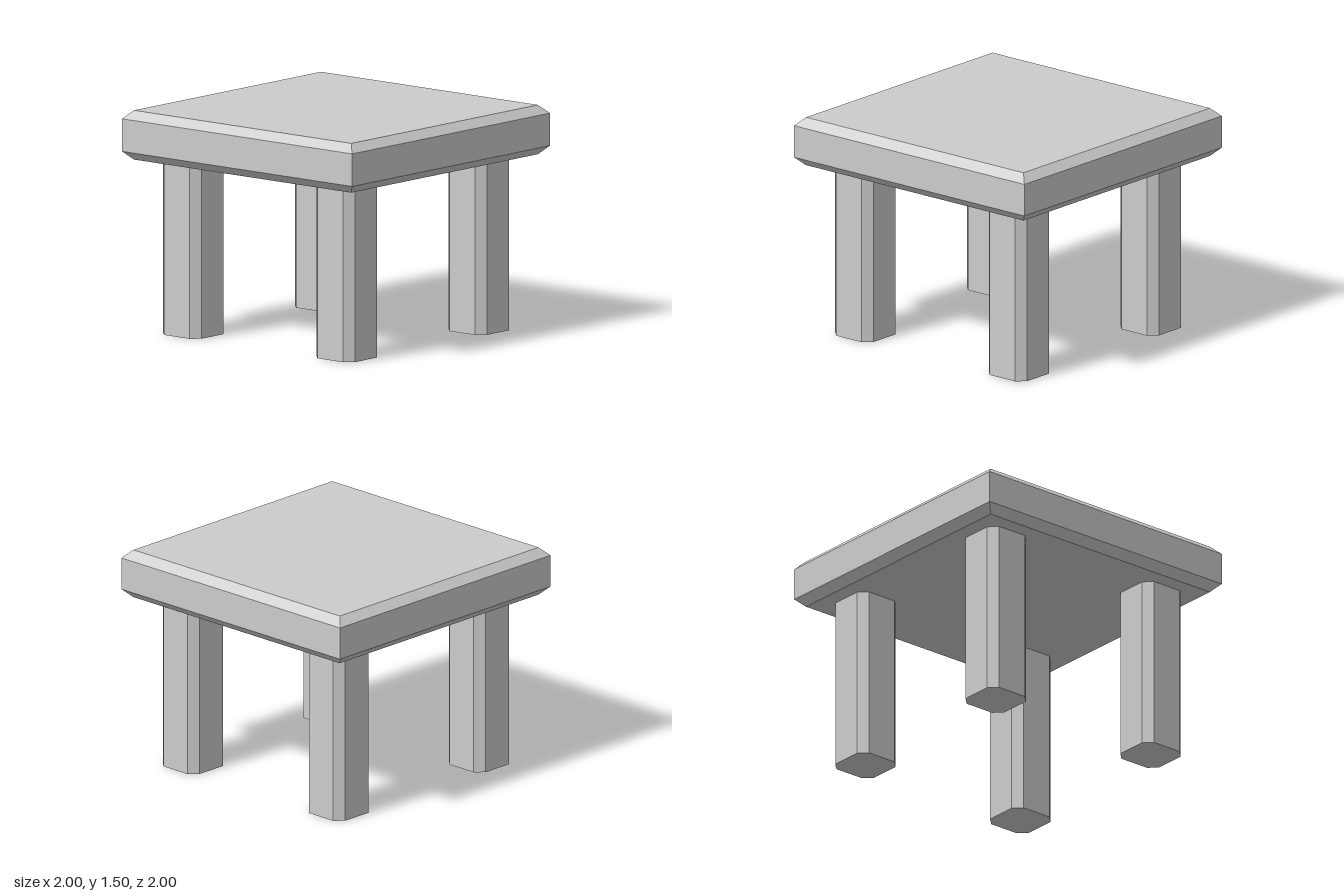
import * as THREE from 'three';

const CHAMFER = 0.056;
const LEG_HEIGHT = 1.17;
const TOP_HEIGHT = 0.33;

// Square outline of half-width h with corners cut by c (c = 0 leaves them sharp)
function squareOutline(h, c) {
  const points = [];
  for (const [sx, sy] of [[1, 1], [-1, 1], [-1, -1], [1, -1]]) {
    if (c === 0) {
      points.push(new THREE.Vector2(sx * h, sy * h));
      continue;
    }
    const alongX = new THREE.Vector2(sx * (h - c), sy * h);
    const alongY = new THREE.Vector2(sx * h, sy * (h - c));
    points.push(...(sx * sy > 0 ? [alongY, alongX] : [alongX, alongY]));
  }
  return new THREE.Shape(points);
}

export function createModel() {
  const table = new THREE.Group();
  table.name = 'table';
  const material = new THREE.MeshStandardMaterial({ color: 0xcccccc, flatShading: true });

  // Slab with chamfered upper and lower rims
  const topGeometry = new THREE.ExtrudeGeometry(squareOutline(1 - CHAMFER, 0), {
    depth: TOP_HEIGHT - 2 * CHAMFER,
    bevelEnabled: true,
    bevelThickness: CHAMFER,
    bevelSize: CHAMFER,
    bevelSegments: 1,
  });
  topGeometry.rotateX(-Math.PI / 2);
  const top = new THREE.Mesh(topGeometry, material);
  top.name = 'tabletop';
  top.position.y = LEG_HEIGHT + CHAMFER;
  table.add(top);

  // Four square legs with chamfered vertical edges
  const legGeometry = new THREE.ExtrudeGeometry(squareOutline(0.1667, CHAMFER), {
    depth: LEG_HEIGHT,
    bevelEnabled: false,
  });
  legGeometry.rotateX(-Math.PI / 2);
  for (const [z, end] of [[1, 'front'], [-1, 'back']]) {
    for (const [x, side] of [[1, 'Left'], [-1, 'Right']]) {
      const leg = new THREE.Mesh(legGeometry, material);
      leg.name = `${end}${side}Leg`;
      leg.position.set(x * 0.6667, 0, z * 0.6667);
      table.add(leg);
    }
  }
  return table;
}
